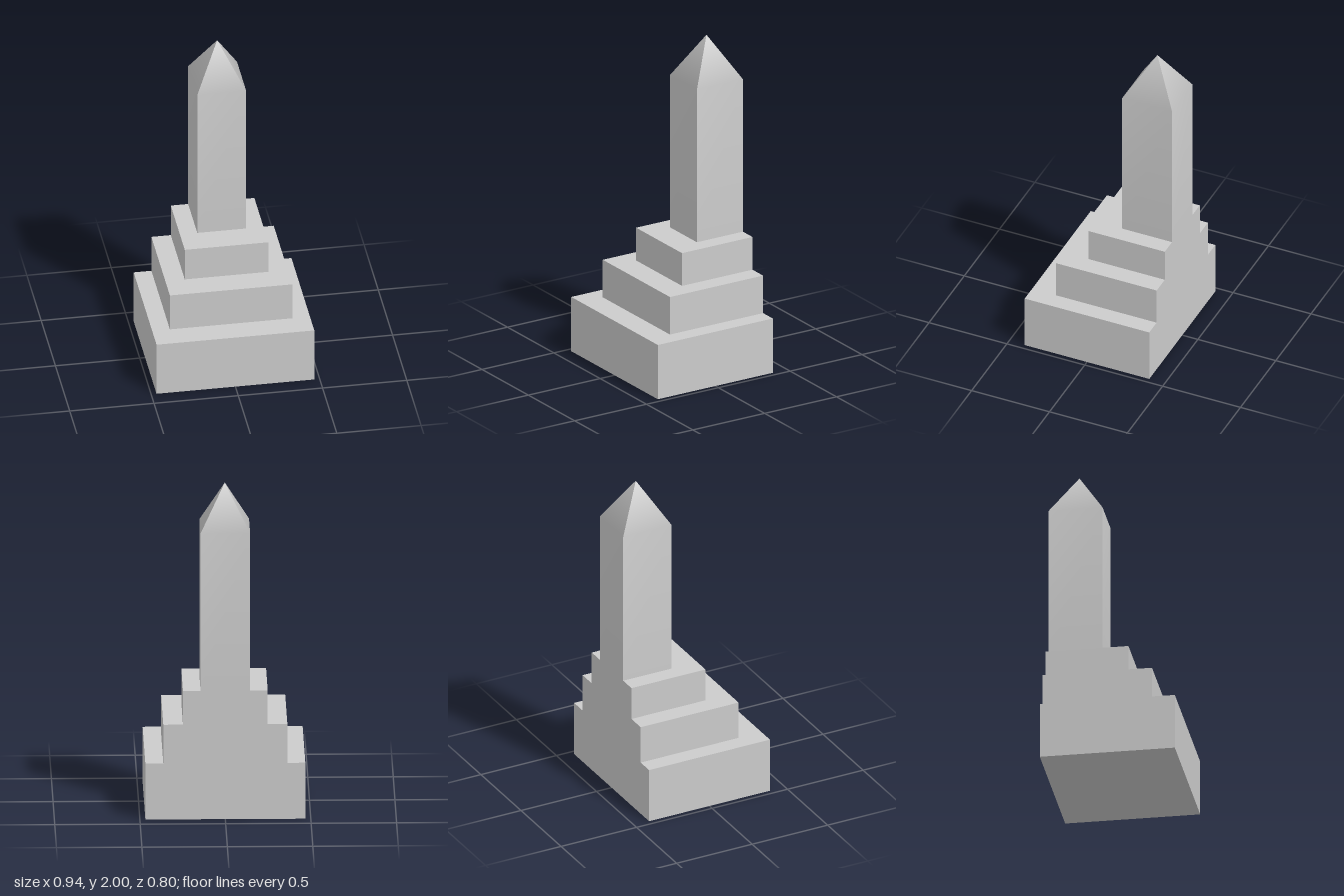
import * as THREE from 'three';
import { mergeGeometries } from 'three/addons/utils/BufferGeometryUtils.js';

const BACK = -0.4; // every part is flush with this back plane

export function createModel() {
  const group = new THREE.Group();
  const material = new THREE.MeshStandardMaterial({ color: 0xcccccc });
  const add = (name, geometry) => {
    const mesh = new THREE.Mesh(geometry, material);
    mesh.name = name;
    group.add(mesh);
  };

  // Stepped plinth: name, half width, front z, bottom y, top y
  const tiers = [
    ['lowerTier', 0.468, 0.4, 0, 0.34],
    ['middleTier', 0.363, 0.248, 0.34, 0.575],
    ['upperTier', 0.248, 0.09, 0.575, 0.78],
  ];
  for (const [name, half, front, y0, y1] of tiers) {
    const box = new THREE.BoxGeometry(half * 2, y1 - y0, front - BACK);
    add(name, box.translate(0, (y0 + y1) / 2, (front + BACK) / 2));
  }

  // Obelisk: each side is a panel shaded smoothly from the shaft into the point
  const w = 0.145, front = -0.08, foot = 0.78, eave = 1.735;
  const apex = [0, 2, (front + BACK) / 2];
  const corners = [[-w, front], [w, front], [w, BACK], [-w, BACK]];
  const panels = corners.map(([ax, az], i) => {
    const [bx, bz] = corners[(i + 1) % 4];
    const panel = new THREE.BufferGeometry();
    panel.setAttribute('position', new THREE.Float32BufferAttribute(
      [ax, foot, az, bx, foot, bz, bx, eave, bz, ax, eave, az, ...apex], 3));
    panel.setIndex([0, 1, 2, 0, 2, 3, 3, 2, 4]);
    panel.computeVertexNormals();
    return panel;
  });
  add('obelisk', mergeGeometries(panels));

  return group;
}
